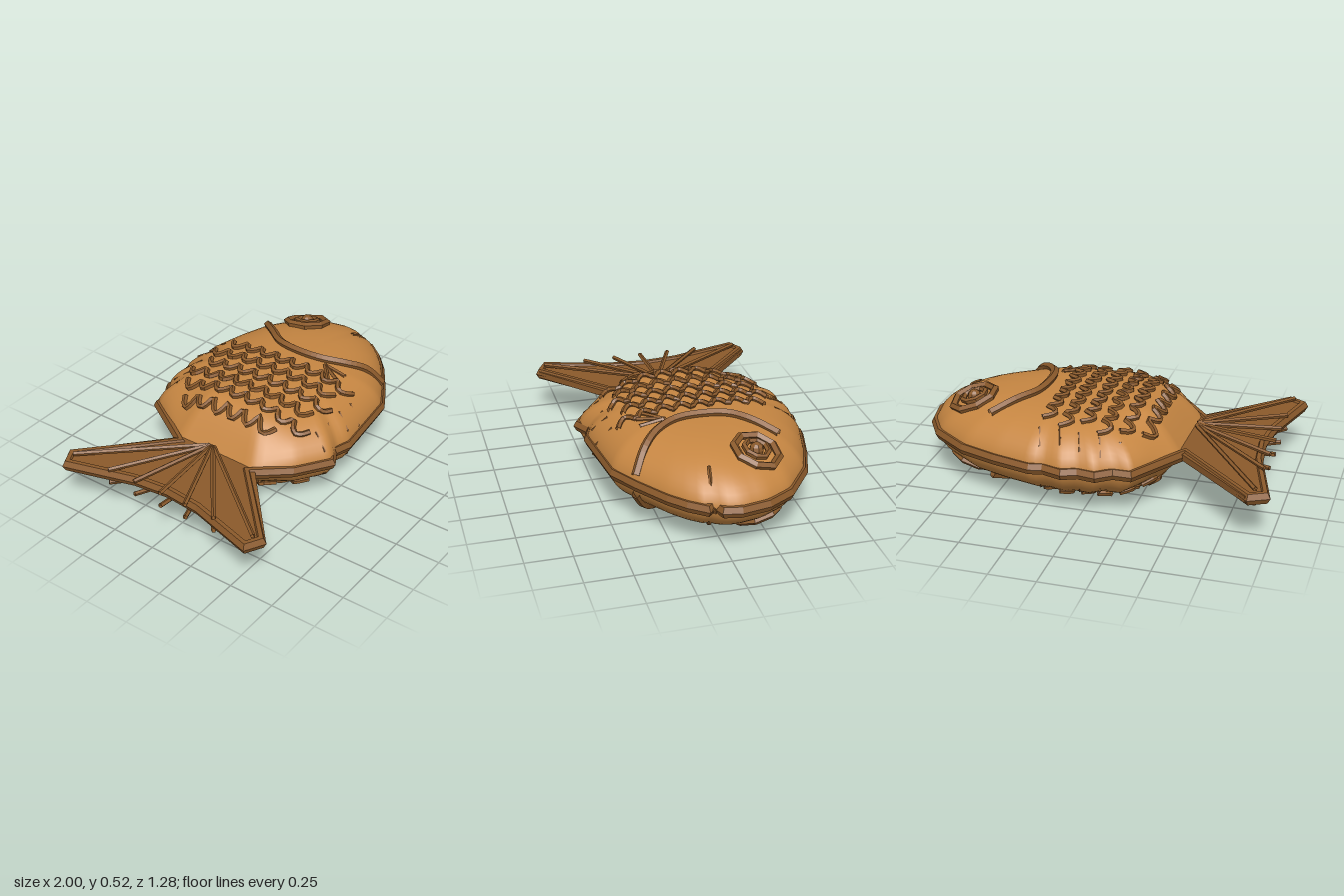
import * as THREE from 'three';

const MID = 0.265, CX = 0.2, CZ = -0.03;
const dough = new THREE.MeshStandardMaterial({ color: 0xc68642 });
dough.name = 'golden dough';
const crust = new THREE.MeshStandardMaterial({ color: 0x8b5a2b, flatShading: true, side: THREE.DoubleSide });
crust.name = 'browned crust';

// Outlines seen from above, as [x, z]
const bodyLine = [
  [-0.48, -0.25], [-0.28, -0.565], [-0.18, -0.565], [-0.1, -0.625], [0, -0.61], [0.08, -0.643],
  [0.19, -0.61], [0.26, -0.625], [0.48, -0.57], [0.68, -0.5], [0.88, -0.355], [0.965, -0.21],
  [0.995, -0.055], [0.975, 0.045], [0.915, 0.07], [0.95, 0.1], [0.87, 0.2], [0.78, 0.28],
  [0.6, 0.4], [0.44, 0.49], [0.02, 0.54], [-0.07, 0.51], [-0.16, 0.56], [-0.35, 0.43], [-0.49, 0.26],
];
const tailLine = [[-0.89, 0.64], [-1, 0.58], [-0.89, 0.2], [-0.87, 0], [-0.89, -0.2], [-1, -0.59], [-0.89, -0.645]];

// How far a point lies from the body centre (0) to its outline (1)
function reach(x, z) {
  const dx = x - CX, dz = z - CZ;
  let best = Infinity;
  bodyLine.forEach((a, i) => {
    const b = bodyLine[(i + 1) % bodyLine.length];
    const ex = b[0] - a[0], ez = b[1] - a[1], ax = a[0] - CX, az = a[1] - CZ;
    const det = dx * ez - dz * ex;
    if (Math.abs(det) < 1e-9) return;
    const s = (ax * ez - az * ex) / det, u = (ax * dz - az * dx) / det;
    if (s > 0 && u >= -1e-6 && u <= 1 + 1e-6) best = Math.min(best, s);
  });
  return 1 / best / 0.97;
}

// Body half height: a full dome that slopes more gently to the tail
function height(x, z) {
  const t = Math.min(1, reach(x, z));
  const toTail = (CX - x) / (Math.hypot(x - CX, z - CZ) + 1e-9);
  const w = THREE.MathUtils.smoothstep(toTail, 0.75, 1);
  const dome = Math.pow(1 - Math.pow(t, 3.2), 0.55);
  const slope = Math.min(1, (1 - t) / 0.38);
  return 0.228 * THREE.MathUtils.lerp(dome, slope * (1.5 - 0.5 * slope * slope), w);
}

function gridGeometry(positions, index) {
  const g = new THREE.BufferGeometry();
  g.setAttribute('position', new THREE.Float32BufferAttribute(positions, 3));
  g.setIndex(index);
  g.computeVertexNormals();
  return g;
}

function bodyGeometry() {
  const rings = 32, segs = 120, pos = [], index = [];
  for (let i = 0; i <= rings; i++) {
    const phi = Math.PI * i / rings, t = Math.max(0.001, Math.sin(phi));
    for (let j = 0; j < segs; j++) {
      const a = 2 * Math.PI * j / segs, c = Math.cos(a), s = Math.sin(a);
      const r = t / reach(CX + c, CZ + s);
      const x = CX + c * r, z = CZ + s * r;
      const h = i === rings / 2 ? 0 : height(x, z) * Math.sign(Math.cos(phi));
      pos.push(x, MID + h, z);
      if (i < rings) {
        const p = i * segs + j, q = i * segs + (j + 1) % segs;
        index.push(p, q, p + segs, q, q + segs, p + segs);
      }
    }
  }
  return gridGeometry(pos, index);
}

// Six-sided seam swept round the whole outline with mitred corners
function rimGeometry() {
  const line = [...bodyLine, ...tailLine], n = line.length, pos = [], index = [];
  const profile = [[0, 0], [0.014, 0.03], [0.036, 0.03], [0.05, 0], [0.036, -0.03], [0.014, -0.03]];
  const inward = (a, b) => new THREE.Vector2(a[1] - b[1], b[0] - a[0]).normalize();
  line.forEach((p, i) => {
    const n1 = inward(line[(i + n - 1) % n], p), n2 = inward(p, line[(i + 1) % n]);
    const m = n1.clone().add(n2).normalize();
    m.multiplyScalar(Math.min(1.4, 1 / Math.max(0.1, m.dot(n2))));
    profile.forEach(([d, y], k) => {
      pos.push(p[0] + m.x * d, MID + y, p[1] + m.y * d);
      const a = i * 6 + k, b = i * 6 + (k + 1) % 6, c = ((i + 1) % n) * 6 + k, e = ((i + 1) % n) * 6 + (k + 1) % 6;
      index.push(a, b, c, b, e, c);
    });
  });
  return gridGeometry(pos, index);
}

export function createModel() {
  const model = new THREE.Group();
  model.name = 'fishCake';
  const add = (name, geometry, material, parent = model) => {
    const mesh = new THREE.Mesh(geometry, material);
    mesh.name = name;
    parent.add(mesh);
    return mesh;
  };

  add('body', bodyGeometry(), dough);
  add('rim', rimGeometry(), crust);

  // Flat tail web
  const web = [[-0.44, -0.23], ...[...tailLine].reverse().map(([x, z]) => [x * 0.985, z * 0.975]), [-0.44, 0.24]];
  const tail = new THREE.ExtrudeGeometry(new THREE.Shape(web.map(p => new THREE.Vector2(...p))), { depth: 0.036, bevelEnabled: false });
  tail.rotateX(Math.PI / 2).translate(0, MID + 0.018, 0);
  add('tail', tail, crust);

  // Raised details, repeated on the upper and lower faces
  for (const side of [1, -1]) {
    const face = new THREE.Group();
    face.name = side > 0 ? 'upperFace' : 'lowerFace';
    model.add(face);

    const ridge = (name, pts, radius, lift = 0, closed = false, steps = 4) => {
      const path = pts.map(([x, z]) => new THREE.Vector3(x, MID + side * (height(x, z) + lift), z));
      const curve = new THREE.CatmullRomCurve3(path, closed);
      return add(name, new THREE.TubeGeometry(curve, pts.length * steps, radius, 5, closed), crust, face);
    };

    // Gill cover
    ridge('gill', [[0.55, -0.38], [0.44, -0.26], [0.365, -0.16], [0.34, -0.02], [0.355, 0.125], [0.42, 0.24], [0.5, 0.32], [0.575, 0.385]], 0.024, 0.012);

    // Mouth crease
    ridge('mouth', [[0.94, 0.075], [0.9, 0.07], [0.83, 0.07], [0.77, 0.06]], 0.01, 0.004);

    // Eye: two rings round a pupil
    const eyeX = 0.705, eyeZ = -0.21;
    for (const [name, r, tube, lift] of [['eyeOuterRing', 0.115, 0.023, 0.012], ['eyeInnerRing', 0.062, 0.016, 0.016]]) {
      const pts = Array.from({ length: 8 }, (_, i) => {
        const a = i * Math.PI / 4 + 0.3;
        return [eyeX + r * Math.cos(a), eyeZ + r * Math.sin(a)];
      });
      ridge(name, pts, tube, lift, true, 1);
    }
    const pupil = add('pupil', new THREE.SphereGeometry(0.038, 8, 6), crust, face);
    pupil.position.set(eyeX, MID + side * (height(eyeX, eyeZ) + 0.01), eyeZ);

    // Columns of scalloped scales, bulging toward the tail
    [[-0.305, -0.34, 6], [-0.2, -0.4, 8], [-0.095, -0.45, 8], [0.01, -0.4, 8], [0.115, -0.45, 8], [0.22, -0.4, 8]].forEach(([x, z, count]) => {
      const pts = [];
      for (let i = 0; i <= count * 4; i++) {
        pts.push([x + 0.03 - 0.06 * Math.abs(Math.sin(i * Math.PI / 4)), z + i * 0.1 / 4]);
      }
      ridge('scaleColumn', pts, 0.015, 0.01, false, 2);
    });

    // Fin strokes along the back, belly and side
    for (const x of [-0.21, -0.1, 0.01, 0.115, 0.225]) ridge('backFinStroke', [[x - 0.01, -0.55], [x + 0.02, -0.46]], 0.006);
    for (const x of [-0.15, -0.04, 0.07, 0.18]) ridge('bellyFinStroke', [[x - 0.02, 0.5], [x + 0.01, 0.42]], 0.006);
    for (const end of [[0.2, 0.27], [0.25, 0.3], [0.32, 0.3]]) ridge('sideFinStroke', [[0.32, 0.17], end], 0.012, 0.004);

    // Tail ribs fanning out from the neck
    for (const z of [-0.58, -0.34, -0.17, 0, 0.16, 0.34, 0.58]) {
      const rib = new THREE.LineCurve3(
        new THREE.Vector3(-0.49, MID + side * 0.082, z * 0.03),
        new THREE.Vector3(-0.92, MID + side * 0.04, z));
      add('tailRib', new THREE.TubeGeometry(rib, 1, 0.013, 5), crust, face);
    }
  }
  return model;
}
